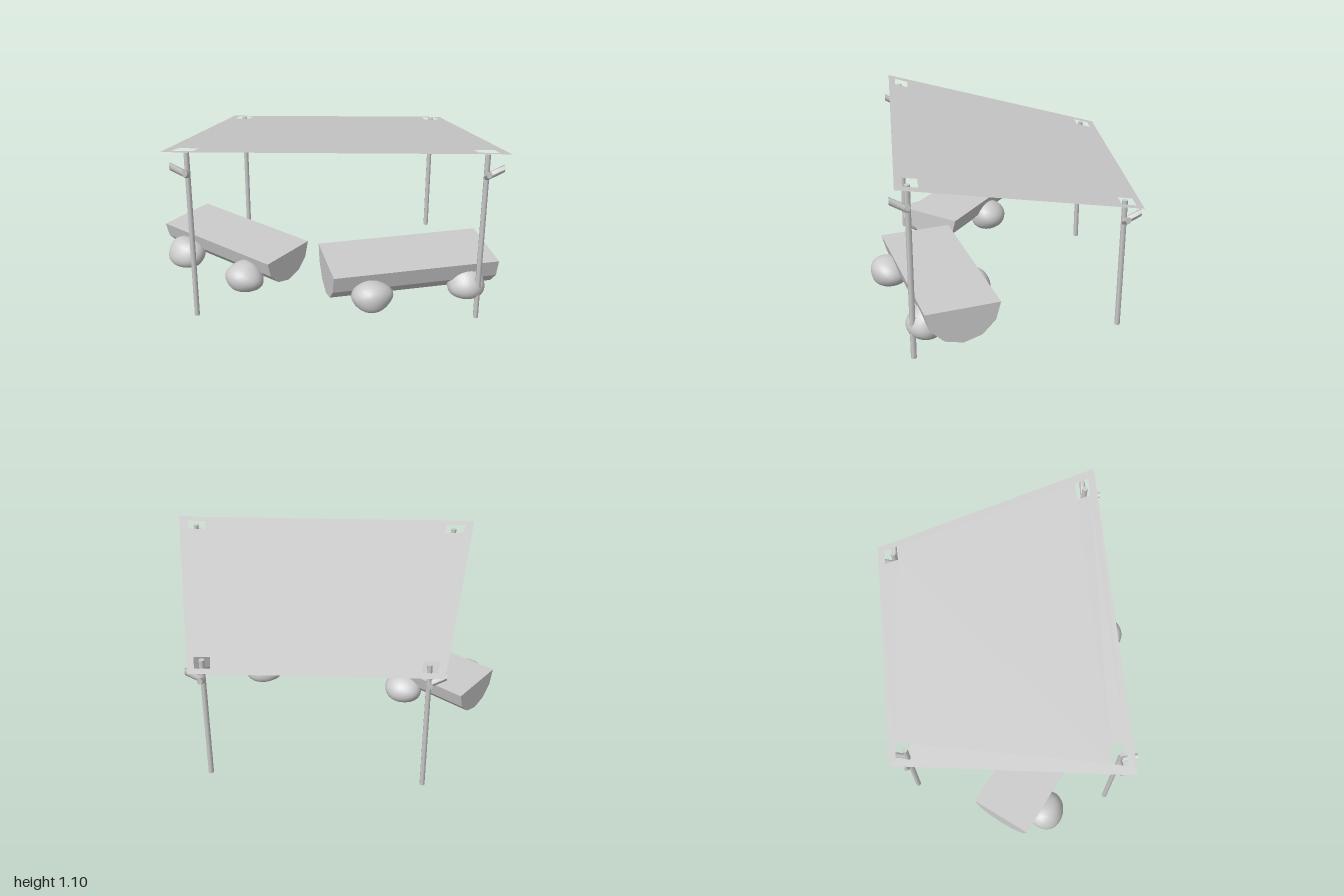
import * as THREE from 'three';
import { mergeVertices } from 'three/addons/utils/BufferGeometryUtils.js';

const grey = new THREE.MeshStandardMaterial({ color: 0xcccccc });
const faceted = new THREE.MeshStandardMaterial({ color: 0xcccccc, flatShading: true });
const sheet = new THREE.MeshStandardMaterial({ color: 0xcccccc, side: THREE.DoubleSide });

function add(parent, name, geometry, material, x = 0, y = 0, z = 0) {
  const mesh = new THREE.Mesh(geometry, material);
  mesh.name = name;
  mesh.position.set(x, y, z);
  parent.add(mesh);
  return mesh;
}

// Sloping trapezoid sheet with a skewed hole at each corner
function canopyGeometry() {
  const toPoints = (list) => list.map(([x, z]) => new THREE.Vector2(x, -z));
  const shape = new THREE.Shape(toPoints([[-0.88, 0.59], [0.99, 0.59], [0.74, -0.745], [-0.63, -0.745]]));
  const holes = [
    [[-0.80, 0.47], [-0.685, 0.47], [-0.71, 0.55], [-0.825, 0.55]],
    [[0.805, 0.47], [0.915, 0.47], [0.93, 0.55], [0.82, 0.55]],
    [[-0.595, -0.705], [-0.505, -0.705], [-0.52, -0.62], [-0.61, -0.62]],
    [[0.623, -0.705], [0.71, -0.705], [0.725, -0.62], [0.634, -0.62]],
  ];
  for (const hole of holes) shape.holes.push(new THREE.Path(toPoints(hole)));
  const geometry = new THREE.ShapeGeometry(shape);
  const p = geometry.attributes.position;
  for (let i = 0; i < p.count; i++) {
    const z = -p.getY(i);
    p.setXYZ(i, p.getX(i), 0.81 + (z + 0.745) * 0.217, z);
  }
  geometry.computeVertexNormals();
  return geometry;
}

// Short rising prong with an upright cut end
function prongGeometry() {
  const length = 0.095;
  const geometry = new THREE.CylinderGeometry(0.016, 0.016, length, 6);
  geometry.rotateZ(-Math.PI / 2).translate(length / 2, 0, 0);
  const p = geometry.attributes.position;
  for (let i = 0; i < p.count; i++) p.setY(i, p.getY(i) * 1.4 + p.getX(i) * 0.55);
  geometry.computeVertexNormals();
  return geometry;
}

// Forked post: prongs point outward along x and z
function addPost(parent, name, x, z, bottom, top, forkY) {
  const post = new THREE.Group();
  post.name = name;
  post.position.set(x, 0, z);
  const height = top - bottom;
  add(post, 'pole', new THREE.CylinderGeometry(0.016, 0.016, height, 6), grey, 0, bottom + height / 2, 0);
  const prong = prongGeometry();
  add(post, 'sideProng', prong, grey, 0, forkY, 0).rotation.y = x > 0 ? 0 : Math.PI;
  add(post, 'endProng', prong, grey, 0, forkY, 0).rotation.y = z > 0 ? -Math.PI / 2 : Math.PI / 2;
  parent.add(post);
}

// Rounded stone: a sphere with gentle bumps and a flattened underside
function rockGeometry(seed) {
  let geometry = new THREE.IcosahedronGeometry(1, 4);
  geometry.deleteAttribute('normal');
  geometry.deleteAttribute('uv');
  geometry = mergeVertices(geometry);
  const p = geometry.attributes.position;
  const v = new THREE.Vector3();
  for (let i = 0; i < p.count; i++) {
    v.fromBufferAttribute(p, i);
    const bump = 1 + 0.06 * Math.sin(2.6 * v.x + seed) + 0.05 * Math.sin(3.1 * v.y + 2 * v.z + seed * 2);
    v.multiplyScalar(bump);
    if (v.y < -0.5) v.y = -0.5 + (v.y + 0.5) * 0.8;
    p.setXYZ(i, v.x * 0.118, v.y * 0.095, v.z * 0.105);
  }
  geometry.computeVertexNormals();
  return geometry;
}

// Half-round log seat, flat side up, lying along its local z
function addBench(parent, name, x, z, top, radius, length, angle, rocks) {
  const bench = new THREE.Group();
  bench.name = name;
  const profile = [];
  for (let i = 0; i <= 6; i++) {
    const a = Math.PI + (i / 6) * Math.PI;
    profile.push(new THREE.Vector2(radius * Math.cos(a), radius * Math.sin(a)));
  }
  const geometry = new THREE.ExtrudeGeometry(new THREE.Shape(profile), { depth: length, bevelEnabled: false });
  geometry.translate(0, 0, -length / 2);
  add(bench, 'halfLog', geometry, faceted, x, top, z).rotation.y = angle;
  rocks.forEach(([rx, ry, rz], i) => {
    add(bench, 'supportRock', rockGeometry(i * 1.7 + x), grey, rx, ry, rz).rotation.y = angle + Math.PI / 2;
  });
  parent.add(bench);
}

export function createModel() {
  const model = new THREE.Group();
  model.name = 'campShelter';

  add(model, 'canopy', canopyGeometry(), sheet);

  addPost(model, 'frontRightPost', -0.75, 0.525, 0.045, 1.075, 0.938);
  addPost(model, 'frontLeftPost', 0.874, 0.525, 0.045, 1.075, 0.938);
  addPost(model, 'backRightPost', -0.553, -0.65, 0, 0.838, 0.708);
  addPost(model, 'backLeftPost', 0.677, -0.65, 0.053, 0.838, 0.708);

  addBench(model, 'leftBench', 0.475, 0.365, 0.382, 0.212, 0.97, Math.atan2(0.945, -0.215),
    [[0.27, 0.25, 0.64], [0.81, 0.235, 0.45], [0.43, 0.245, 0.165]]);
  addBench(model, 'rightBench', -0.555, 0.109, 0.373, 0.182, 0.84, Math.atan2(0.797, 0.604),
    [[-0.85, 0.245, 0.14], [-0.47, 0.245, 0.425], [-0.46, 0.24, -0.03]]);

  return model;
}
